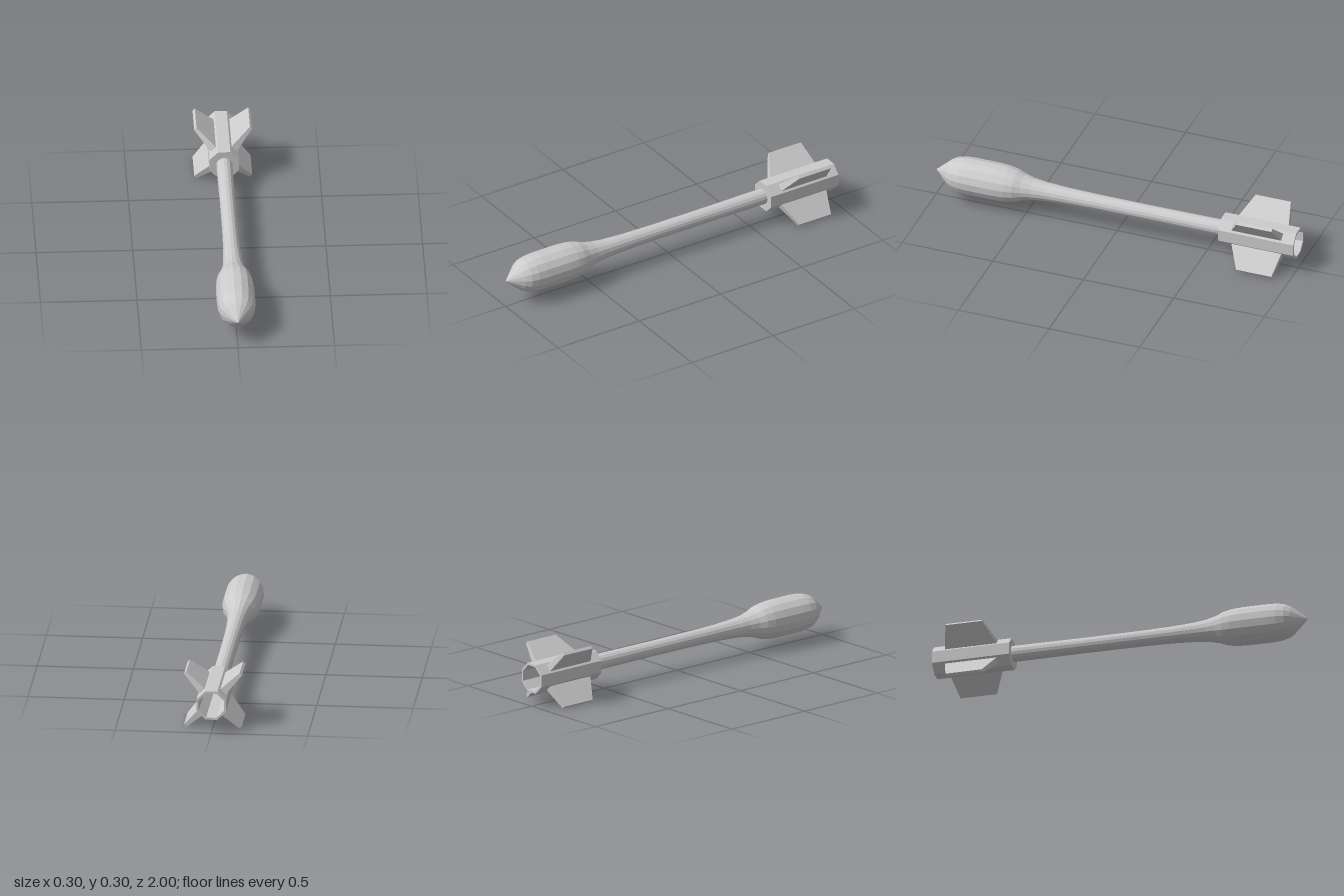
import * as THREE from 'three';

const AXIS_Y = 0.15;
const TURN = Math.PI * 2;

// Faceted solid of revolution along z, from [radius, z] points
function turned(name, profile, sides, start, material) {
  const points = profile.map(([r, z]) => new THREE.Vector2(r, z));
  const geometry = new THREE.LatheGeometry(points, sides, start, TURN);
  geometry.rotateX(Math.PI / 2);
  const mesh = new THREE.Mesh(geometry, material);
  mesh.name = name;
  return mesh;
}

// Fin tapering in thickness and length from root to tip, pointing along +y
function finGeometry() {
  const root = { r: 0.07, half: 0.02, front: -0.652, back: -0.932 };
  const tip = { r: 0.204, half: 0.0085, front: -0.712, back: -0.907 };
  const geometry = new THREE.BoxGeometry(1, 1, 1);
  const p = geometry.attributes.position;
  for (let i = 0; i < p.count; i++) {
    const end = p.getY(i) > 0 ? tip : root;
    p.setXYZ(i, Math.sign(p.getX(i)) * end.half, end.r, p.getZ(i) > 0 ? end.front : end.back);
  }
  geometry.computeVertexNormals();
  return geometry;
}

export function createModel() {
  const model = new THREE.Group();
  model.name = 'finnedProjectile';
  const material = new THREE.MeshStandardMaterial({ color: 0xcccccc, flatShading: true });

  const assembly = new THREE.Group();
  assembly.name = 'assembly';
  assembly.position.y = AXIS_Y;
  model.add(assembly);

  // Shaft swelling into the pointed head
  const body = [
    [0.042, -0.6], [0.04, -0.2], [0.041, 0.1], [0.044, 0.27], [0.05, 0.39],
    [0.058, 0.46], [0.071, 0.515], [0.087, 0.555], [0.096, 0.6], [0.1, 0.66],
    [0.1, 0.8], [0.097, 0.85], [0.088, 0.89], [0.071, 0.92], [0.045, 0.95], [0, 1],
  ];
  assembly.add(turned('body', body, 16, TURN / 64, material));

  // Octagonal tail sleeve, hollow at the rear
  const sleeve = [
    [0, -0.61], [0.066, -0.61], [0.071, -1], [0.083, -1], [0.083, -0.585], [0, -0.585],
  ];
  assembly.add(turned('tailSleeve', sleeve, 8, TURN / 16, material));

  // Four diagonal fins
  const fin = finGeometry();
  for (let i = 0; i < 4; i++) {
    const mesh = new THREE.Mesh(fin, material);
    mesh.name = `fin${i + 1}`;
    mesh.rotation.z = TURN / 8 + (i * TURN) / 4;
    assembly.add(mesh);
  }
  return model;
}
